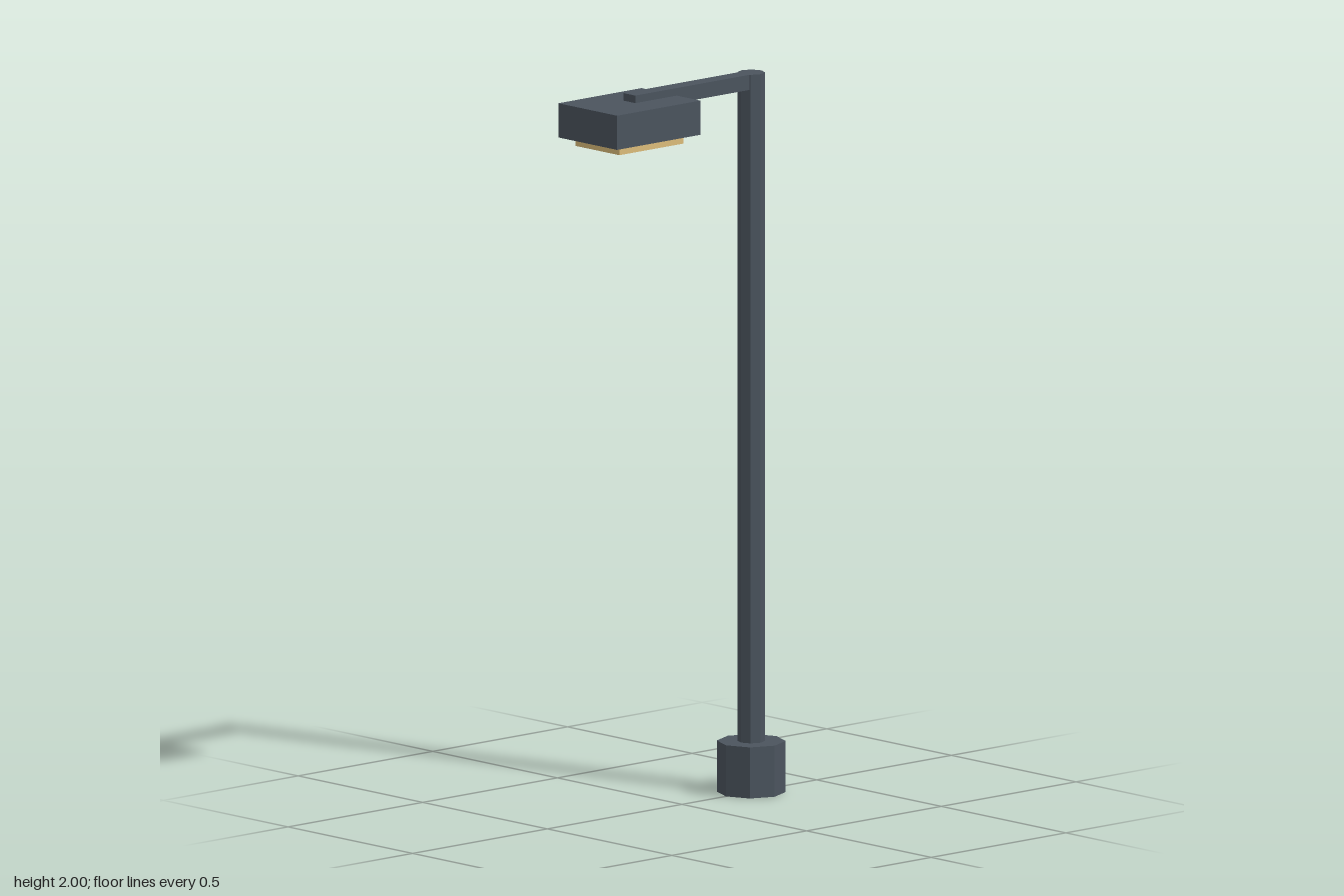
import * as THREE from 'three';

export function createModel() {
  const group = new THREE.Group();
  const steel = new THREE.MeshStandardMaterial({ color: 0x4b545e, flatShading: true });
  steel.name = 'slate steel';
  const glow = new THREE.MeshStandardMaterial({ color: 0xdcbc7a, flatShading: true });
  glow.name = 'warm lamp';

  const add = (name, geometry, material, y, z) => {
    const mesh = new THREE.Mesh(geometry, material);
    mesh.name = name;
    mesh.position.set(0, y, z);
    group.add(mesh);
  };
  // Upright eight-sided post between two heights
  const post = (name, radius, y0, y1) =>
    add(name, new THREE.CylinderGeometry(radius, radius, y1 - y0, 8), steel, (y0 + y1) / 2, POST_Z);
  // Box centred on x, given by its extents in y and z
  const box = (name, material, width, y0, y1, z0, z1) =>
    add(name, new THREE.BoxGeometry(width, y1 - y0, z1 - z0), material, (y0 + y1) / 2, (z0 + z1) / 2);

  const POST_Z = -0.257;
  post('base', 0.094, 0, 0.142);
  post('pole', 0.038, 0.142, 2);

  // Arm reaching forward, with the lamp head hung from its end
  box('arm', steel, 0.047, 1.958, 2, POST_Z, 0.195);
  box('lampHead', steel, 0.236, 1.884, 1.979, 0.041, 0.35);
  box('lampPanel', glow, 0.177, 1.86, 1.884, 0.077, 0.314);

  return group;
}
